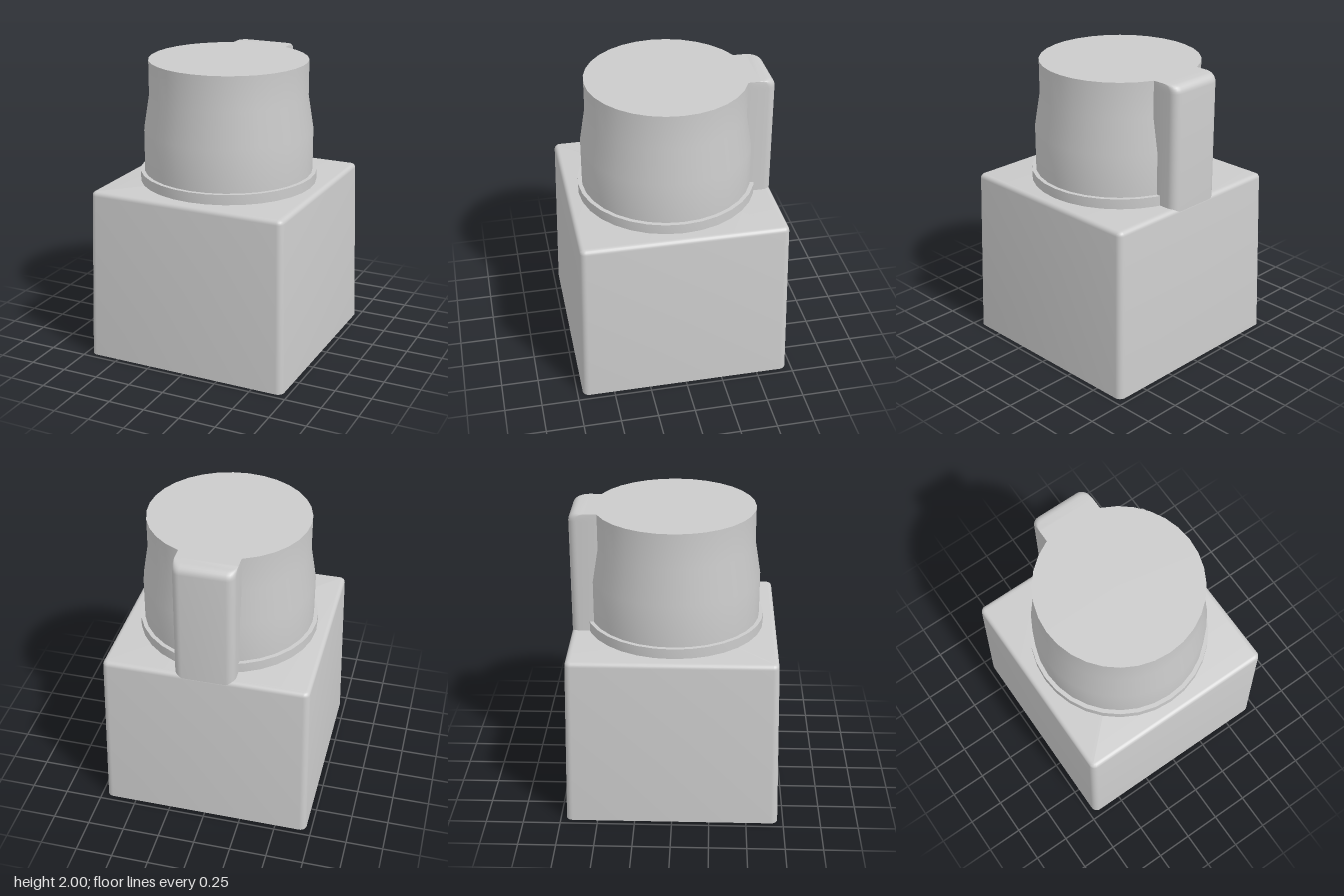
import * as THREE from 'three';
import { toCreasedNormals } from 'three/addons/utils/BufferGeometryUtils.js';

const material = new THREE.MeshStandardMaterial({ color: 0xcccccc });
const thin = new THREE.MeshStandardMaterial({ color: 0xcccccc, side: THREE.DoubleSide });

function add(parent, name, geometry, mat = material) {
  const mesh = new THREE.Mesh(geometry, mat);
  mesh.name = name;
  parent.add(mesh);
  return mesh;
}

// Rounded rectangle as a counter-clockwise outline; one radius for the +v side, one for the -v side
function roundedOutline(u0, u1, v0, v1, rTop, rBottom, n = 6) {
  const corners = [
    [u1 - rTop, v1 - rTop, rTop], [u0 + rTop, v1 - rTop, rTop],
    [u0 + rBottom, v0 + rBottom, rBottom], [u1 - rBottom, v0 + rBottom, rBottom],
  ];
  const points = [];
  corners.forEach(([u, v, r], c) => {
    for (let i = 0; i <= n; i++) {
      const a = (c + i / n) * Math.PI / 2;
      points.push(new THREE.Vector2(u + r * Math.cos(a), v + r * Math.sin(a)));
    }
  });
  return points;
}

// Skin through stacked outlines [{ y, points }] with a flat lid; outline v maps to -z
function loft(sections) {
  const n = sections[0].points.length;
  const position = [];
  const index = [];
  for (const { y, points } of sections) {
    for (const p of points) position.push(p.x, y, -p.y);
  }
  for (let s = 0; s < sections.length - 1; s++) {
    for (let i = 0; i < n; i++) {
      const a = s * n + i, b = s * n + (i + 1) % n;
      index.push(a, b, b + n, a, b + n, a + n);
    }
  }
  const last = (sections.length - 1) * n;
  for (let i = 1; i < n - 1; i++) index.push(last, last + i, last + i + 1);
  const g = new THREE.BufferGeometry();
  g.setAttribute('position', new THREE.Float32BufferAttribute(position, 3));
  g.setIndex(index);
  return toCreasedNormals(g, 0.6);
}

function lathe(profile) {
  const points = profile.map(([r, y]) => new THREE.Vector2(r, y));
  return toCreasedNormals(new THREE.LatheGeometry(points, 32), 0.6);
}

export function createModel() {
  const model = new THREE.Group();
  const square = (h, r) => roundedOutline(-h, h, -h, h, r, r);

  // Tapered housing with softened top edge
  const base = new THREE.Group();
  base.name = 'base';
  model.add(base);
  const sections = [{ y: 0, points: square(0.713, 0.045) }];
  for (let i = 0; i <= 5; i++) {
    const a = i / 5 * Math.PI / 2;
    const inset = 0.03 * (1 - Math.cos(a));
    sections.push({ y: 1.145 + 0.03 * Math.sin(a), points: square(0.686 - inset, 0.04 - inset) });
  }
  add(base, 'housing', loft(sections));

  // Underside with two screw holes in opposite corners
  const floor = new THREE.Shape(square(0.713, 0.045));
  for (const s of [-1, 1]) {
    const x = 0.58 * s, z = -0.58 * s, r = 0.035, depth = 0.1;
    floor.holes.push(new THREE.Path().absarc(x, z, r, 0, Math.PI * 2, true));
    const hole = add(base, 'screwHole', lathe([[r, 0], [r, depth], [0, depth]]), thin);
    hole.position.set(x, 0, z);
  }
  add(base, 'underside', new THREE.ShapeGeometry(floor).rotateX(Math.PI / 2));

  // Round collar and waisted knob
  add(model, 'collar', lathe([[0.6, 1.17], [0.6, 1.243], [0, 1.243]]));
  add(model, 'knob', lathe([[0.572, 1.24], [0.572, 1.53], [0.535, 1.76], [0.535, 2], [0, 2]]));

  // Upright rib behind the knob, rounded at its back corners and top back edge
  const footprint = (back) => roundedOutline(-0.2, 0.2, 0.48, back, 0.055, 0.001);
  const rib = [{ y: 1.1, points: footprint(0.685) }];
  for (let i = 0; i <= 6; i++) {
    const a = i / 6 * Math.PI / 2;
    rib.push({ y: 1.945 + 0.055 * Math.sin(a), points: footprint(0.63 + 0.055 * Math.cos(a)) });
  }
  add(model, 'rearRib', loft(rib));

  return model;
}
